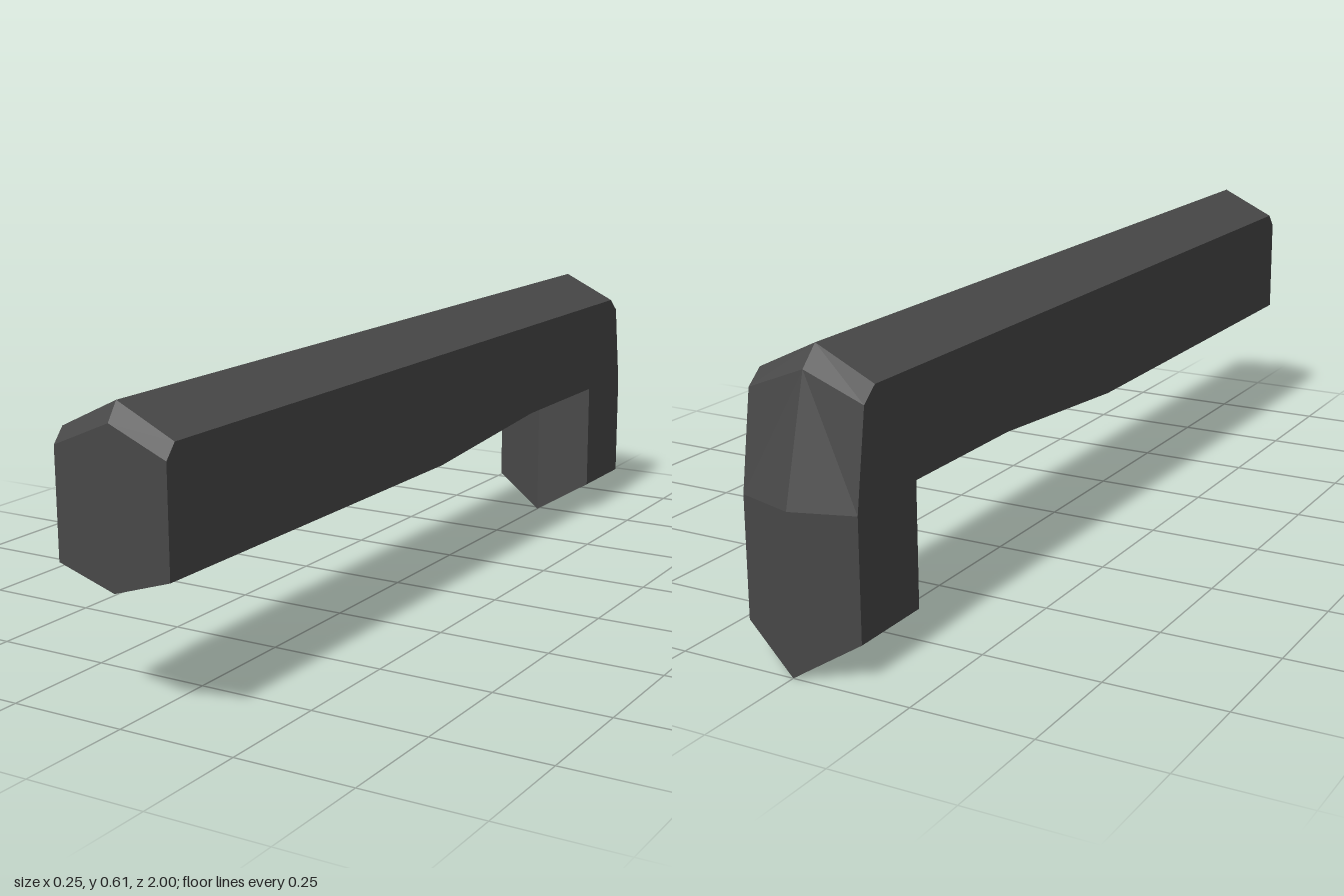
import * as THREE from 'three';

const HALF_WIDTH = 0.125;

// Matching profile points: [ridge z, ridge y, side z, side y], over the top and back underneath
const PROFILE = [
  [1, 0.568, 1, 0.515],
  [0.975, 0.605, 0.975, 0.545],
  [-0.895, 0.605, -0.895, 0.545],
  [-0.935, 0.565, -0.93, 0.515],
  [-1, 0.32, -0.96, 0.32],
  [-1, 0, -0.96, 0.075],
  [-0.735, 0, -0.77, 0.075],
  [-0.735, 0.305, -0.77, 0.33],
  [-0.43, 0.305, -0.43, 0.33],
  [0.02, 0.257, 0.02, 0.297],
  [1, 0.257, 1, 0.297],
];

function meshFrom(name, triangles, material) {
  const points = triangles.flat();
  const geometry = new THREE.BufferGeometry().setFromPoints(points);
  geometry.computeVertexNormals();
  const mesh = new THREE.Mesh(geometry, material);
  mesh.name = name;
  return mesh;
}

export function createModel() {
  const group = new THREE.Group();
  group.name = 'bentHandle';
  const material = new THREE.MeshStandardMaterial({ color: 0x484848, flatShading: true });
  material.name = 'darkGrey';

  const ridge = PROFILE.map(([z, y]) => new THREE.Vector3(0, y, z));
  const outline = PROFILE.map((p) => new THREE.Vector2(p[2], p[3]));
  const faces = THREE.ShapeUtils.triangulateShape(outline, []);

  for (const s of [1, -1]) {
    const label = s > 0 ? 'left' : 'right';
    const side = outline.map((p) => new THREE.Vector3(s * HALF_WIDTH, p.y, p.x));

    // Sloped facets running from the centre ridge out to the side wall, front face included
    const bevel = [];
    ridge.forEach((a, i) => {
      const j = (i + 1) % ridge.length;
      const pair = [[a, side[i], side[j]], [a, side[j], ridge[j]]];
      pair.forEach((t) => bevel.push(s > 0 ? t : t.reverse()));
    });
    group.add(meshFrom(label + 'Facets', bevel, material));

    // Flat side wall, with each triangle turned outwards
    const wall = faces.map(([a, b, c]) => {
      const t = [side[a], side[b], side[c]];
      const normal = new THREE.Triangle(...t).getNormal(new THREE.Vector3());
      return normal.x * s > 0 ? t : t.reverse();
    });
    group.add(meshFrom(label + 'Wall', wall, material));
  }
  return group;
}
